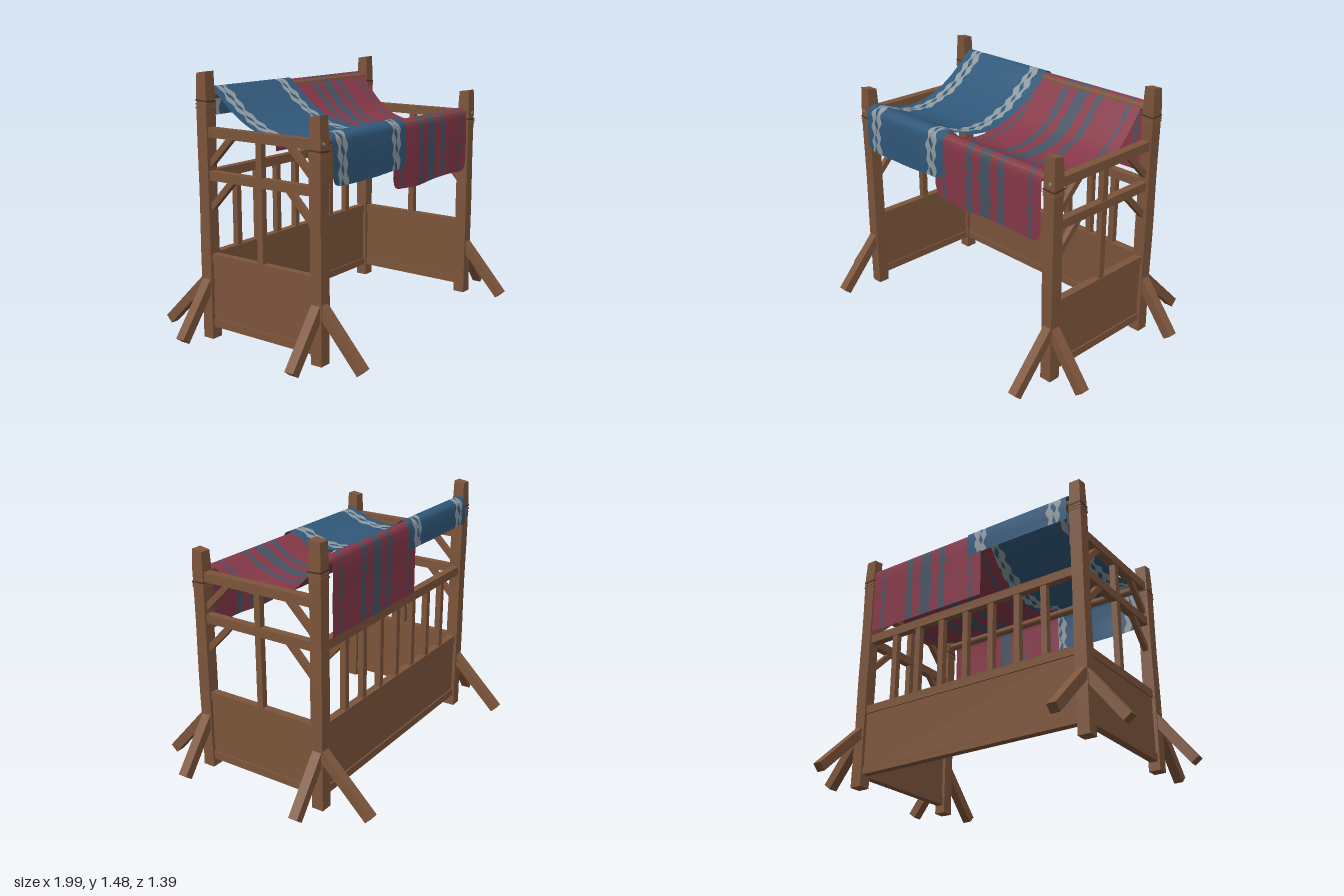
import * as THREE from 'three';

const mat = (name, color, side = THREE.FrontSide) => {
  const m = new THREE.MeshStandardMaterial({ color, side });
  m.name = name;
  return m;
};

export function createModel() {
  const root = new THREE.Group();
  root.name = 'marketStall';
  const wood = mat('wood', 0x7d553b);
  const rope = mat('rope', 0x4f3626);
  const iron = mat('iron', 0x85888a);
  const blue = mat('blueCloth', 0x30587a, THREE.DoubleSide);
  const pale = mat('paleStripe', 0x8f999e, THREE.DoubleSide);
  const red = mat('redCloth', 0x863848, THREE.DoubleSide);
  const slate = mat('slateStripe', 0x475262, THREE.DoubleSide);

  const add = (name, geo, m, x = 0, y = 0, z = 0) => {
    const mesh = new THREE.Mesh(geo, m);
    mesh.name = name;
    mesh.position.set(x, y, z);
    root.add(mesh);
    return mesh;
  };
  const box = (name, w, h, d, x, y, z, m = wood) => add(name, new THREE.BoxGeometry(w, h, d), m, x, y, z);
  // square timber running between two points
  const beam = (name, a, b, w, h) => {
    const p = new THREE.Vector3(...a), q = new THREE.Vector3(...b);
    const mesh = box(name, w, h, p.distanceTo(q), ...p.clone().add(q).multiplyScalar(0.5).toArray());
    mesh.lookAt(q);
    return mesh;
  };

  const PX = 0.742, FZ = 0.4, BZ = -0.357;

  // hewn post: slightly uneven box with a slanted, narrowed cap
  const post = (name, x, z, bottom, top) => {
    const geo = new THREE.BoxGeometry(0.07, top - bottom, 0.07, 1, 12, 1);
    const p = geo.attributes.position, half = (top - bottom) / 2;
    for (let i = 0; i < p.count; i++) {
      const y = p.getY(i);
      const k = y > half - 0.001 ? 0.9 : 1 + 0.025 * Math.sin(y * 9 + x * 3);
      p.setX(i, p.getX(i) * k);
      p.setZ(i, p.getZ(i) * k);
      if (y > half - 0.001) p.setY(i, y + p.getZ(i) * 0.15);
    }
    geo.computeVertexNormals();
    add(name, geo, wood, x, (top + bottom) / 2, z);
  };

  for (const s of [-1, 1]) {
    const x = s * PX;
    post('frontPost', x, FZ, 0.02, 1.3);
    post('backPost', x, BZ, 0, 1.475);

    // splayed ground braces, two per post
    for (const [z, out] of [[FZ, 1], [BZ, -1]]) {
      beam('sideBrace', [s * 0.735, 0.355, z], [s * 0.975, 0.042, z], 0.055, 0.054);
      beam('endBrace', [s * 0.748, 0.36, z - out * 0.01], [s * 0.748, 0.042, out * 0.673], 0.052, 0.054);
    }

    // side wall: panel, border strips, rails, middle post
    const mid = (FZ + BZ) / 2, len = FZ - BZ;
    box('sidePanel', 0.028, 0.4, len, x, 0.28, mid);
    box('sidePanelTop', 0.045, 0.048, len, x, 0.464, mid);
    box('sidePanelBase', 0.045, 0.045, len, x, 0.0925, mid);
    box('sideRail', 0.045, 0.05, len, x, 0.923, mid);
    box('sideTopRail', 0.05, 0.052, len, x, 1.157, mid);
    box('sideMiddlePost', 0.035, 0.66, 0.038, x, 0.81, mid);

    // corner struts below both rails
    for (const y of [0.91, 1.145]) {
      const drop = y < 1 ? 0.165 : 0.16;
      beam('cornerStrut', [x, y - drop, FZ - 0.03], [x, y, FZ - 0.19], 0.03, 0.034);
      beam('cornerStrut', [x, y - drop, BZ + 0.03], [x, y, BZ + 0.19], 0.03, 0.034);
    }

    // lashings and nails
    for (const [z, y0] of [[FZ, 1.095], [BZ, 1.29]]) {
      for (let i = 0; i < 3; i++) {
        const r = box('lashing', 0.077, 0.009, 0.077, x, y0 + i * 0.016, z, i === 2 ? rope : wood);
        r.rotation.set(0.05 * (i - 1), 0, 0.06 * (1 - i));
      }
    }
    const nail = add('nail', new THREE.CylinderGeometry(0.009, 0.009, 0.008, 10), iron, x + s * 0.01, 1.165, FZ + 0.037);
    nail.rotation.x = Math.PI / 2;
  }

  // back wall
  box('backPanel', 1.42, 0.4, 0.028, 0, 0.28, BZ);
  box('backPanelTop', 1.42, 0.05, 0.045, 0, 0.463, BZ);
  box('backPanelBase', 1.42, 0.045, 0.045, 0, 0.0925, BZ);
  box('backRail', 1.42, 0.052, 0.045, 0, 0.922, BZ);
  for (let i = -3; i <= 3; i++) box('backBaluster', 0.036, 0.43, 0.034, i * 0.173, 0.695, BZ);

  // poles carrying the awning
  for (const [name, y, z] of [['frontPole', 1.172, FZ], ['backPole', 1.352, BZ]]) {
    add(name, new THREE.CylinderGeometry(0.024, 0.024, 1.45, 10), wood, 0, y, z).rotation.z = Math.PI / 2;
  }

  // draped cloth: strips across x following one (z, y) profile from back hem to front hem
  const ROWS = 140, COLS = 6;
  const cloth = (name, profile, edges, mats, wobble, corner) => {
    const curve = new THREE.CatmullRomCurve3(profile.map(([z, y]) => new THREE.Vector3(0, y, z)), false, 'centripetal');
    const pts = curve.getSpacedPoints(ROWS);
    const first = edges[0], last = edges[edges.length - 1];
    const edgeX = (i, t) => (i === 0 || i === edges.length - 1) ? edges[i]
      : edges[i] + wobble * (Math.sin(t * 95 + i * 2.1) + 0.6 * Math.sin(t * 41 + i * 1.3));
    const group = new THREE.Group();
    group.name = name;
    for (let k = 0; k < mats.length; k++) {
      const pos = [], idx = [];
      for (let r = 0; r <= ROWS; r++) {
        const t = r / ROWS, a = edgeX(k, t), b = edgeX(k + 1, t);
        for (let c = 0; c <= COLS; c++) {
          const x = a + (b - a) * c / COLS;
          let { y, z } = pts[r];
          if (z > 0.42 && y < 1.15) {
            // rounded corners and a gently uneven front hem
            const d = Math.min(x - first, last - x);
            const round = d < corner ? 0.2 * (1 - Math.sqrt(Math.max(0, 1 - (1 - d / corner) ** 2))) : 0;
            y = 1.15 - (1.15 - y) * (1 - round + 0.02 * Math.sin(x * 11));
            z += 0.004 * Math.sin(x * 18) * (1.15 - y) / 0.3;
          }
          pos.push(x, y, z);
          if (r < ROWS && c < COLS) {
            const i = r * (COLS + 1) + c, j = i + COLS + 1;
            idx.push(i, j, i + 1, i + 1, j, j + 1);
          }
        }
      }
      const geo = new THREE.BufferGeometry();
      geo.setAttribute('position', new THREE.Float32BufferAttribute(pos, 3));
      geo.setIndex(idx);
      geo.computeVertexNormals();
      const mesh = new THREE.Mesh(geo, mats[k]);
      mesh.name = name + 'Strip';
      group.add(mesh);
    }
    root.add(group);
  };

  cloth('blueAwning',
    [[-0.41, 1.23], [-0.41, 1.33], [-0.4, 1.378], [-0.365, 1.394], [-0.325, 1.365], [-0.2, 1.26], [-0.07, 1.186],
      [0.1, 1.145], [0.25, 1.162], [0.35, 1.2], [0.4, 1.211], [0.44, 1.19], [0.452, 1.12], [0.455, 0.94]],
    [-0.7, -0.655, -0.625, -0.613, -0.58, -0.162, -0.133, -0.122, -0.09, -0.033],
    [blue, pale, blue, pale, blue, pale, blue, pale, blue], 0.008, 0.06);

  cloth('redAwning',
    [[-0.4, 0.96], [-0.4, 1.15], [-0.4, 1.33], [-0.392, 1.373], [-0.365, 1.386], [-0.33, 1.35], [-0.2, 1.2], [-0.1, 1.13],
      [0.1, 1.09], [0.25, 1.125], [0.35, 1.185], [0.4, 1.2], [0.425, 1.175], [0.432, 1.1], [0.434, 0.82]],
    [-0.122, -0.06, -0.04, 0.14, 0.183, 0.238, 0.322, 0.385, 0.425, 0.602, 0.622, 0.688],
    [red, slate, red, slate, red, slate, red, slate, red, slate, red], 0.004, 0.06);

  return root;
}
